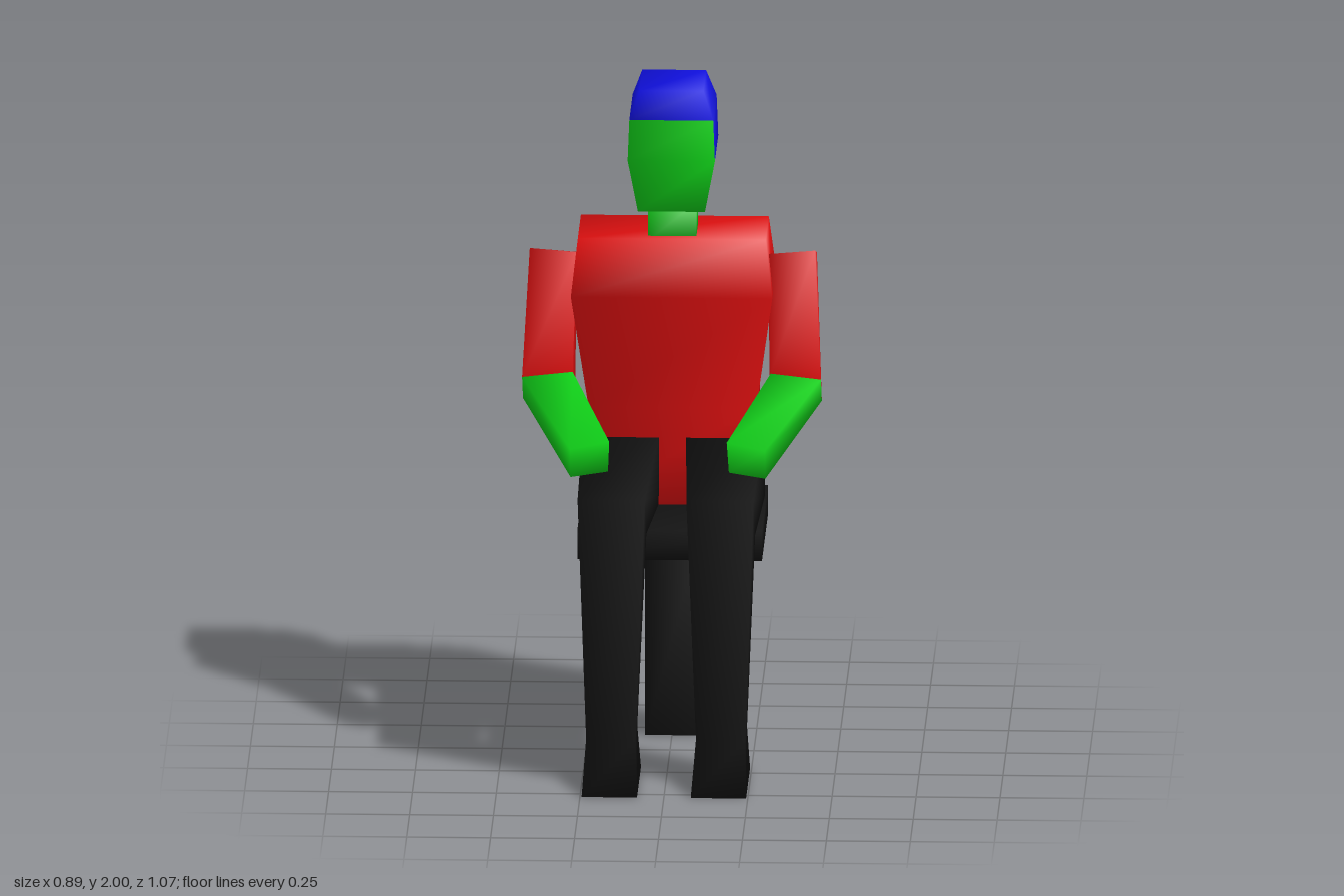
import * as THREE from 'three';

const mat = (name, color) => {
  const m = new THREE.MeshStandardMaterial({ color });
  m.name = name;
  return m;
};

// Rectangular cross-section at height y: half width, back z, front z
const ring = (y, w, back, front) => [[-w, y, front], [w, y, front], [w, y, back], [-w, y, back]];

// Mirror a list of cross-sections across x, keeping the winding
const mirror = (sections) => sections.map((s) => s.map(([x, y, z]) => [-x, y, z]).reverse());

// Smooth loft through four-cornered sections, listed from the top down.
// pick(segment, side) gives a material index; segment -1 and 'end' are the caps.
function loft(sections, pick = () => 0) {
  const geo = new THREE.BufferGeometry();
  const index = [];
  const quad = (a, b, c, d, material) => {
    geo.addGroup(index.length, 6, material);
    index.push(a, b, c, a, c, d);
  };
  quad(0, 1, 2, 3, pick(-1, 0));
  for (let s = 0; s < sections.length - 1; s++) {
    for (let i = 0; i < 4; i++) {
      const j = (i + 1) % 4, u = s * 4, l = u + 4;
      quad(l + i, l + j, u + j, u + i, pick(s, i));
    }
  }
  const e = (sections.length - 1) * 4;
  quad(e + 3, e + 2, e + 1, e, pick('end', 0));
  geo.setAttribute('position', new THREE.Float32BufferAttribute(sections.flat(2), 3));
  geo.setIndex(index);
  geo.computeVertexNormals();
  return geo;
}

export function createModel() {
  const group = new THREE.Group();
  group.name = 'seatedFigure';
  const red = mat('shirtRed', 0xdd1010);
  const green = mat('skinGreen', 0x10cc18);
  const blue = mat('hairBlue', 0x1010dd);
  const black = mat('trouserBlack', 0x111111);

  const add = (name, geometry, ...materials) => {
    const mesh = new THREE.Mesh(geometry, materials.length > 1 ? materials : materials[0]);
    if (materials.length === 1) geometry.clearGroups();
    mesh.name = name;
    group.add(mesh);
  };

  // Stool
  add('seat', loft([ring(0.685, 0.275, -0.495, 0.03), ring(0.595, 0.275, -0.495, 0.03)]), black);
  add('seatPost', loft([ring(0.6, 0.08, -0.33, -0.165), ring(0, 0.08, -0.33, -0.165)]), black);

  // Torso and neck
  add('torso', loft([
    ring(1.535, 0.28, -0.42, -0.155),
    ring(1.36, 0.3, -0.475, -0.13),
    ring(1.0, 0.25, -0.5, -0.21),
    ring(0.7, 0.26, -0.535, -0.21),
  ]), red);
  add('neck', loft([ring(1.64, 0.072, -0.34, -0.19), ring(1.52, 0.072, -0.34, -0.19)]), green);

  // Head: hair covers the crown, the upper sides and the whole back
  const hair = (segment, side) => {
    if (segment === 'end') return 0;
    if (segment <= 0 || side === 2) return 1;
    return segment === 1 && side !== 0 ? 1 : 0;
  };
  add('head', loft([
    ring(2.0, 0.095, -0.365, -0.13),
    ring(1.915, 0.125, -0.4, -0.107),
    ring(1.79, 0.13, -0.4, -0.105),
    ring(1.63, 0.1, -0.375, -0.118),
  ], hair), green, blue);

  // Limb sections for the left side: front/top inner, front/top outer, back outer, back inner
  const shoulder = [[0.285, 1.475, -0.215], [0.425, 1.487, -0.215], [0.425, 1.44, -0.365], [0.29, 1.435, -0.365]];
  const elbow = [[0.295, 1.125, -0.145], [0.445, 1.112, -0.13], [0.445, 1.025, -0.21], [0.29, 1.03, -0.22]];
  const hand = [[0.175, 1.0, 0.18], [0.29, 0.985, 0.215], [0.29, 0.89, 0.18], [0.18, 0.897, 0.14]];
  const limbSection = (inner, outer, [yf, zf], [yb, zb]) =>
    [[inner, yf, zf], [outer, yf, zf], [outer, yb, zb], [inner, yb, zb]];
  const leg = [
    limbSection(0.035, 0.27, [0.915, -0.375], [0.685, -0.375]),
    limbSection(0.062, 0.262, [0.877, 0.39], [0.735, 0.245]),
    limbSection(0.09, 0.237, [0.135, 0.375], [0.135, 0.22]),
    limbSection(0.08, 0.245, [0, 0.535], [0, 0.19]),
  ];

  // Arms and legs on both sides
  for (const side of ['left', 'right']) {
    const place = (sections) => loft(side === 'left' ? sections : mirror(sections));
    add(side + 'UpperArm', place([shoulder, elbow]), red);
    add(side + 'Forearm', place([elbow, hand]), green);
    add(side + 'Leg', place(leg), black);
  }
  return group;
}
